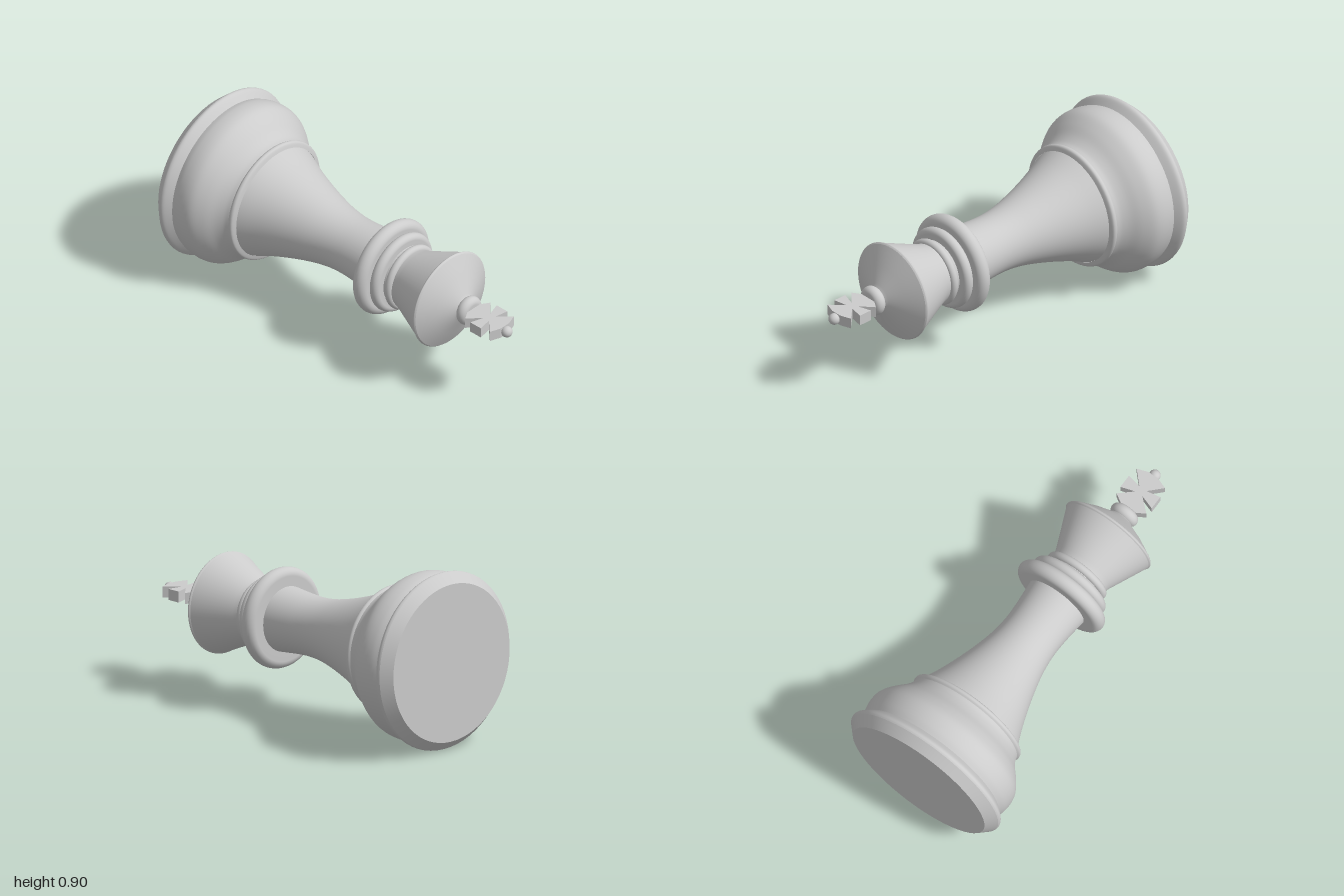
import * as THREE from 'three';

const material = new THREE.MeshStandardMaterial({ color: 0xcccccc, side: THREE.DoubleSide });
const SEGMENTS = 64;

// Turned part from [radius, height] pairs; curved profiles are splined, straight ones keep their corners
function turned(name, pairs, curved = false) {
  let points = pairs.map(([r, h]) => new THREE.Vector2(r, h));
  if (curved) points = new THREE.SplineCurve(points).getPoints(pairs.length * 4);
  const mesh = new THREE.Mesh(new THREE.LatheGeometry(points, SEGMENTS), material);
  mesh.name = name;
  return mesh;
}

// Ring with a half-elliptical rim, running back to an inner radius
function ring(name, inner, outer, low, high) {
  const mid = (low + high) / 2, half = (high - low) / 2;
  const pairs = [[inner, low]];
  for (let i = 0; i <= 12; i++) {
    const a = -Math.PI / 2 + (Math.PI * i) / 12;
    pairs.push([outer - half + half * Math.cos(a), mid + half * Math.sin(a)]);
  }
  pairs.push([inner, high]);
  return turned(name, pairs);
}

// Four flared arms meeting in a narrow centre
function crossGeometry() {
  const half = [
    [0.045, 0.748], [0.09, 0.776], [0.022, 0.838], [0.095, 0.814],
    [0.095, 0.886], [0.022, 0.872], [0.086, 0.938], [0.03, 0.958],
  ];
  const mirrored = half.map(([x, y]) => [-x, y]).reverse();
  const shape = new THREE.Shape([...half, ...mirrored].map(([x, y]) => new THREE.Vector2(x, y)));
  const geometry = new THREE.ExtrudeGeometry(shape, { depth: 0.056, bevelEnabled: false });
  return geometry.translate(0, 0, -0.028);
}

export function createModel() {
  const model = new THREE.Group();
  model.name = 'chessKing';

  // The piece is built upright along y, then laid down so that its top points to +z
  const piece = new THREE.Group();
  piece.name = 'lyingPiece';
  piece.position.y = 0.45;
  piece.rotation.x = Math.PI / 2;
  model.add(piece);

  // Base
  piece.add(
    turned('baseUnderside', [[0, -1], [0.4, -1]]),
    turned('baseFlare', [[0.4, -1], [0.447, -0.95]]),
    turned('baseRim', [[0.447, -0.95], [0.45, -0.938], [0.442, -0.922], [0.412, -0.895]], true),
    turned('baseBulge', [
      [0.412, -0.895], [0.424, -0.86], [0.428, -0.81], [0.418, -0.765],
      [0.385, -0.715], [0.345, -0.67], [0.322, -0.635], [0.314, -0.61],
    ], true),
    turned('baseLip', [[0.314, -0.61], [0.321, -0.598], [0.316, -0.584], [0.293, -0.575]], true),
  );

  // Waisted body
  piece.add(turned('body', [
    [0.293, -0.58], [0.254, -0.49], [0.218, -0.39], [0.185, -0.28],
    [0.16, -0.17], [0.15, -0.07], [0.153, 0.03], [0.165, 0.16],
  ], true));

  // Collar and the two smaller rings above it
  piece.add(
    ring('collar', 0.14, 0.255, 0.152, 0.232),
    ring('middleRing', 0.13, 0.212, 0.232, 0.288),
    turned('neck', [[0.16, 0.22], [0.153, 0.36]]),
    ring('upperRing', 0.13, 0.174, 0.3, 0.342),
  );

  // Head: flaring crown with a conical top
  piece.add(
    turned('crown', [[0.155, 0.34], [0.163, 0.37], [0.25, 0.575]]),
    turned('crownRim', [[0.25, 0.575], [0.256, 0.583], [0.25, 0.592]], true),
    turned('crownTop', [[0.25, 0.592], [0.16, 0.642], [0.075, 0.68], [0.055, 0.695]]),
    ring('finialRing', 0, 0.076, 0.685, 0.748),
  );

  // Cross with a small ball at its tip
  const cross = new THREE.Mesh(crossGeometry(), material);
  cross.name = 'cross';
  const ball = new THREE.Mesh(new THREE.SphereGeometry(0.029, 24, 16), material);
  ball.name = 'tipBall';
  ball.position.y = 0.971;
  piece.add(cross, ball);

  return model;
}
